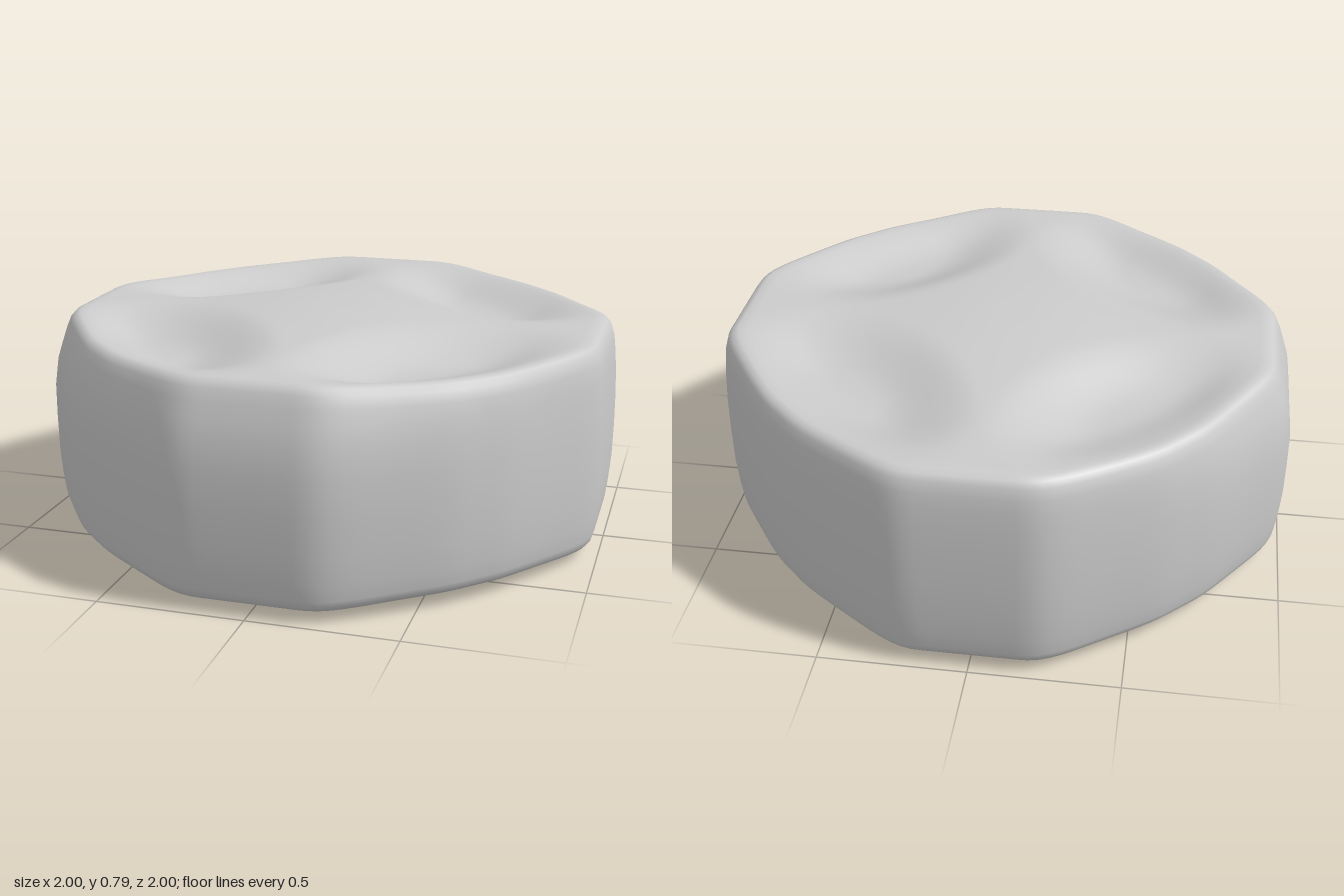
import * as THREE from 'three';
import { mergeVertices } from 'three/addons/utils/BufferGeometryUtils.js';

const smooth = THREE.MathUtils.smoothstep;

// Plan outline: one quadrant mirrored to four, flats on the axes and softly pointed diagonals
function makeOutline() {
  const quad = [[0.999, 0], [0.999, 0.11], [0.996, 0.21], [0.972, 0.28], [0.865, 0.45], [0.755, 0.605],
    [0.682, 0.682], [0.605, 0.755], [0.45, 0.865], [0.28, 0.972], [0.21, 0.996], [0.11, 0.999]];
  const pts = [];
  for (let q = 0; q < 4; q++) {
    const c = [1, 0, -1, 0][q], s = [0, 1, 0, -1][q];
    for (const [x, z] of quad) pts.push(new THREE.Vector3(x * c - z * s, 0, x * s + z * c));
  }
  const samples = new THREE.CatmullRomCurve3(pts, true, 'centripetal').getPoints(480);
  const polar = samples.slice(0, -1).map(p => [(Math.atan2(p.z, p.x) + Math.PI * 2) % (Math.PI * 2), p.length()]);
  polar.sort((a, b) => a[0] - b[0]);
  // Radius at an angle, by interpolation
  return angle => {
    const a = (angle + Math.PI * 4) % (Math.PI * 2);
    let i = polar.findIndex(p => p[0] > a);
    if (i < 0) i = 0;
    const p = polar[(i + polar.length - 1) % polar.length], n = polar[i];
    const span = (n[0] - p[0] + Math.PI * 2) % (Math.PI * 2) || 1;
    const t = ((a - p[0] + Math.PI * 2) % (Math.PI * 2)) / span;
    return p[1] + (n[1] - p[1]) * t;
  };
}

// Depth of the four broad dishes on the diagonals, shallowing towards the rim (f = 1)
function dent(x, z, f) {
  const u = (Math.abs(x) + Math.abs(z)) / Math.SQRT2, v = (Math.abs(x) - Math.abs(z)) / Math.SQRT2;
  const d = Math.hypot((u - 0.72) / 0.42, v / 0.58);
  return 0.075 * (1 - smooth(d, 0.3, 1)) * (1 - 0.8 * smooth(f, 0.68, 0.96));
}

// Height gained by the domed middle
const dome = (x, z) => 0.033 * (1 - smooth(Math.hypot(x, z), 0.05, 0.65));

export function createModel() {
  const group = new THREE.Group();
  const outline = makeOutline();

  // Profile from bottom centre to top centre: x is the fraction of the outline
  const profile = [];
  const N = 30;
  for (let i = 0; i <= N; i++) profile.push(new THREE.Vector2(0.94 * i / N, 0.035));
  for (const [r, y] of [[0.962, 0.042], [0.975, 0.058], [0.982, 0.08], [0.99, 0.14], [0.998, 0.24], [1, 0.36],
    [0.999, 0.48], [0.994, 0.58], [0.989, 0.64], [0.983, 0.69], [0.972, 0.728], [0.957, 0.747]])
    profile.push(new THREE.Vector2(r, y));
  for (let i = N; i >= 0; i--) profile.push(new THREE.Vector2(0.935 * i / N, 0.756));

  let geo = new THREE.LatheGeometry(profile, 160);
  const pos = geo.attributes.position;
  for (let i = 0; i < pos.count; i++) {
    let x = pos.getX(i), y = pos.getY(i), z = pos.getZ(i);
    const f = Math.hypot(x, z), a = Math.atan2(z, x);
    // Upper edge is rounder towards -x and +z
    const soft = smooth(Math.sin(a) - Math.cos(a), -0.6, 0.9);
    const inset = 0.042 * soft * smooth(y, 0.5, 0.76) * smooth(f, 0.7, 0.95);
    const k = outline(a) * (1 - inset);
    x *= k;
    z *= k;
    // Dome and dishes on both faces, fading out down the side wall
    const lift = (dome(x, z) - dent(x, z, f)) * smooth(Math.abs(y - 0.395), 0.2, 0.35);
    y += y > 0.395 ? lift : -lift;
    pos.setXYZ(i, x, y, z);
  }

  // Weld the seam and the poles so the shading is continuous
  geo.deleteAttribute('uv');
  geo.deleteAttribute('normal');
  geo = mergeVertices(geo, 1e-4);
  geo.computeVertexNormals();

  const body = new THREE.Mesh(geo, new THREE.MeshStandardMaterial({ color: 0xcccccc }));
  body.name = 'dentedCushionBody';
  group.add(body);
  return group;
}
